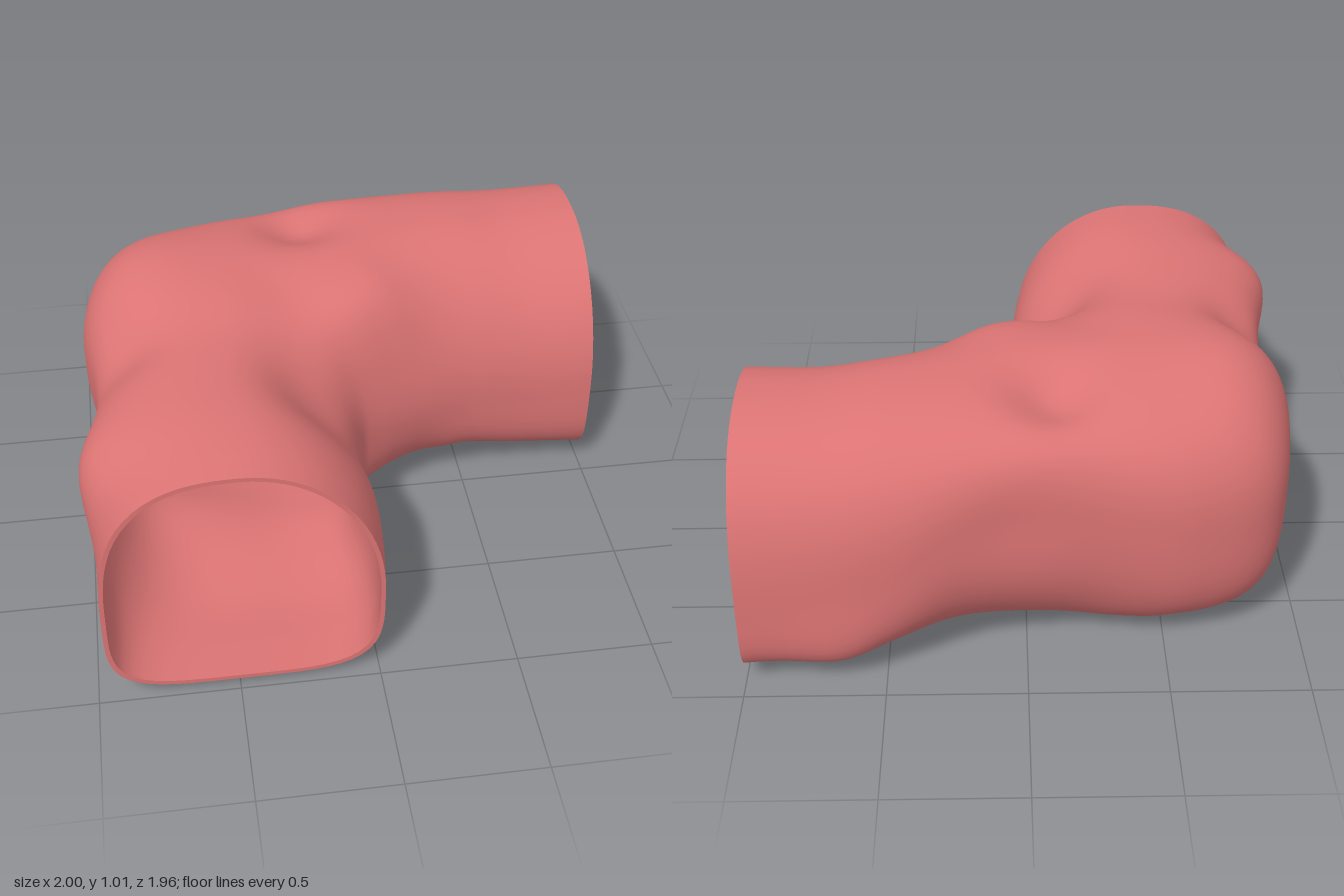
import * as THREE from 'three';
import { toCreasedNormals } from 'three/addons/utils/BufferGeometryUtils.js';

const WALL = 0.016, AROUND = 80, ALONG = 96;

// Stations along the bent tube: outer wall (x, height, z), inner wall (x, height, z),
// then floor, roof and squareness of the lower outer corner
const stations = [
  [-0.962, 0.38, 0.98, 0.015, 0.40, 0.98, 0.03, 0.955, 4.4],
  [-0.96, 0.45, 0.82, 0.035, 0.40, 0.82, 0.025, 0.965, 3.8],
  [-0.965, 0.60, 0.62, 0.04, 0.42, 0.64, 0.015, 0.97, 2.9],
  [-0.94, 0.66, 0.35, 0.02, 0.42, 0.42, 0.03, 0.968, 2.5],
  [-0.935, 0.64, 0.05, 0.03, 0.42, 0.28, 0.04, 0.968, 2.4],
  [-0.97, 0.58, -0.30, 0.06, 0.42, 0.20, 0.03, 0.985, 2.7],
  [-0.885, 0.50, -0.65, 0.11, 0.42, 0.16, 0.02, 0.99, 3.4],
  [-0.60, 0.52, -0.795, 0.19, 0.42, 0.125, 0.015, 0.985, 3.2],
  [-0.20, 0.60, -0.835, 0.28, 0.42, 0.095, 0.02, 0.985, 2.5],
  [0.20, 0.60, -0.895, 0.42, 0.42, 0.055, 0.05, 0.985, 2.5],
  [0.46, 0.48, -0.945, 0.55, 0.43, 0.025, 0.085, 0.98, 3.6],
  [0.70, 0.40, -0.97, 0.75, 0.43, 0.00, 0.055, 0.962, 4.4],
  [1.00, 0.36, -0.98, 1.00, 0.43, 0.00, 0.03, 0.968, 4.4],
];

// Soft bumps and dents: centre, radius, push
const bumps = [
  [-0.10, 0.98, -0.53, 0.16, 0, -0.085, 0],
  [-0.77, 0.92, -0.32, 0.25, -0.01, 0.05, 0],
  [-0.86, 0.90, 0.14, 0.18, 0.03, -0.05, 0],
  [-0.96, 0.75, 0.62, 0.20, -0.04, 0.025, 0],
  [-0.14, 0.82, 0.38, 0.25, -0.05, -0.06, 0],
  [0.08, 0.86, 0.02, 0.23, 0.01, 0.10, 0.03],
  [0.28, 0.12, 0.03, 0.22, 0, 0.05, -0.05],
  [-0.60, 0.03, 0.18, 0.24, 0, 0.07, 0],
  [-0.35, 0.00, -0.40, 0.25, 0, -0.02, 0],
  [0.05, 0.64, -0.87, 0.20, 0, 0, 0.025],
  [-0.05, 0.88, -0.80, 0.20, 0, 0.02, -0.015],
  [0.62, 0.15, -0.95, 0.18, 0, -0.03, -0.02],
];

// Smooth curve through three chosen columns of the stations
const curve = (k) => new THREE.CatmullRomCurve3(
  stations.map((s) => new THREE.Vector3(s[k], s[k + 1], s[k + 2])), false, 'catmullrom', 0.5);
const outerCurve = curve(0), innerCurve = curve(3), shapeCurve = curve(6);

// One rounded cross-section; inset shrinks it to the inside face of the wall
function section(u, inset, out) {
  const o = outerCurve.getPoint(u), n = innerCurve.getPoint(u), h = shapeCurve.getPoint(u);
  const half = 0.5 - inset / Math.hypot(n.x - o.x, n.z - o.z);
  const floor = h.x + inset, roof = h.y - inset;
  for (let i = 0; i < AROUND; i++) {
    const a = (i / AROUND) * Math.PI * 2, c = Math.cos(a), s = Math.sin(a);
    // Squarer below, rounder above, roundest on the upper inner corner
    const low = c > 0 ? 4.0 : h.z, high = c > 0 ? 2.05 : 2.6;
    const e = s < 0 ? low : high;
    const r = 1 / Math.pow(Math.abs(c) ** e + Math.abs(s) ** e, 1 / e);
    const t = 0.5 + half * c * r;
    const mid = c > 0 ? n.y : o.y;
    const p = new THREE.Vector3(
      o.x + (n.x - o.x) * t,
      mid + s * r * (s > 0 ? roof - mid : mid - floor),
      o.z + (n.z - o.z) * t);
    const q = p.clone();
    for (const [x, y, z, rad, dx, dy, dz] of bumps) {
      const d = (p.x - x) ** 2 + (p.y - y) ** 2 + (p.z - z) ** 2;
      const w = Math.exp(-d / (rad * rad));
      q.x += dx * w; q.y += dy * w; q.z += dz * w;
    }
    out.push(q.x, Math.max(q.y, 0), q.z);
  }
}

// Outer skin forward, inner skin back; the wrap closes both rims
function tubeGeometry() {
  const pos = [], index = [];
  for (let j = 0; j <= ALONG; j++) section(j / ALONG, 0, pos);
  for (let j = ALONG; j >= 0; j--) section(j / ALONG, WALL, pos);
  const rings = 2 * (ALONG + 1);
  for (let j = 0; j < rings; j++) {
    const a = j * AROUND, b = ((j + 1) % rings) * AROUND;
    for (let i = 0; i < AROUND; i++) {
      const k = (i + 1) % AROUND;
      index.push(a + i, b + i, b + k, a + i, b + k, a + k);
    }
  }
  const g = new THREE.BufferGeometry();
  g.setAttribute('position', new THREE.Float32BufferAttribute(pos, 3));
  g.setIndex(index);
  return toCreasedNormals(g, 0.9);
}

export function createModel() {
  const group = new THREE.Group();
  group.name = 'bentTube';
  const coral = new THREE.MeshStandardMaterial({ color: 0xdc7474 });
  coral.name = 'coral';
  const tube = new THREE.Mesh(tubeGeometry(), coral);
  tube.name = 'elbowTube';
  group.add(tube);
  return group;
}
